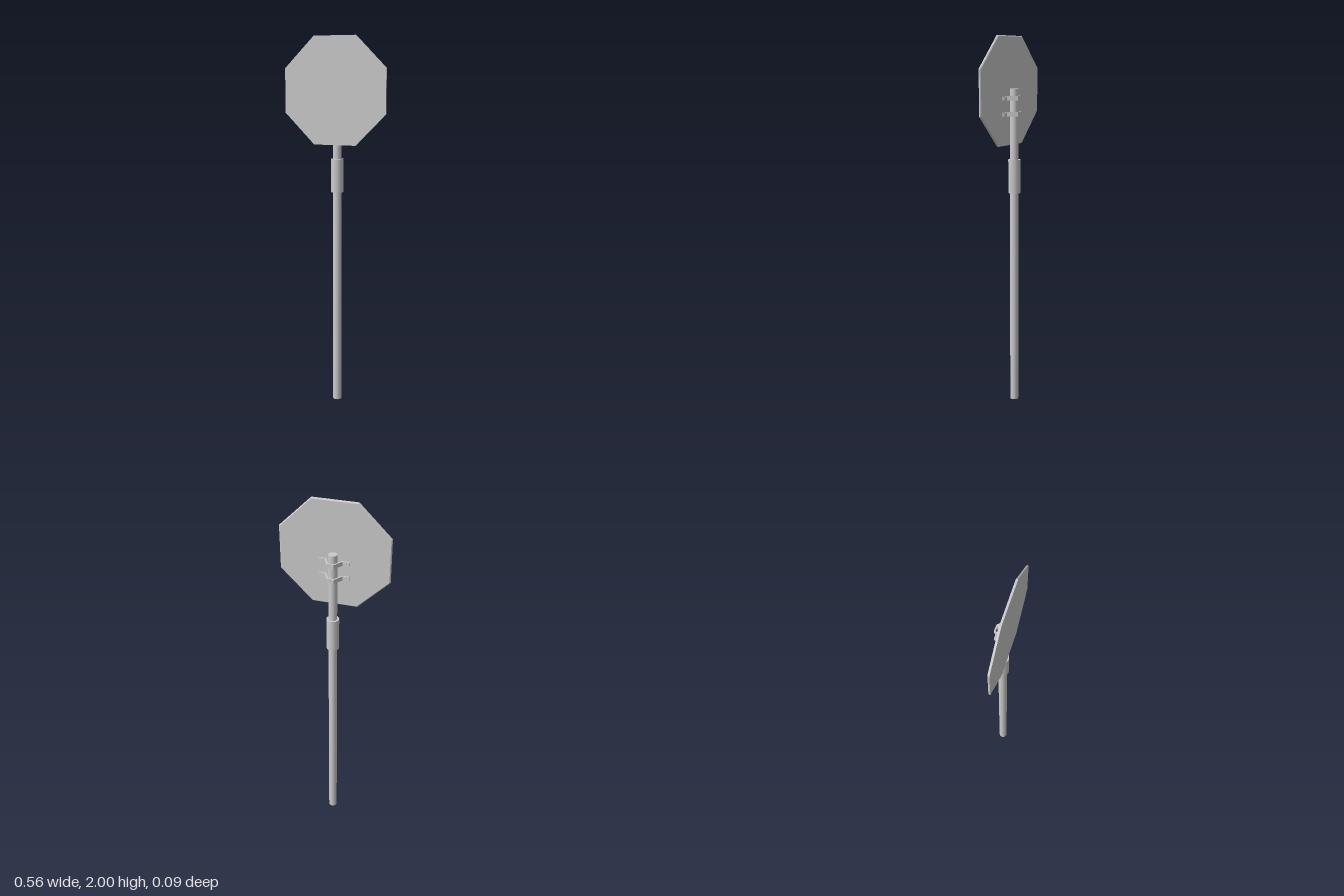
import * as THREE from 'three';

const POLE_Z = -0.012;

export function createModel() {
  const model = new THREE.Group();
  const smooth = new THREE.MeshStandardMaterial({ color: 0xcccccc });
  const flat = new THREE.MeshStandardMaterial({ color: 0xcccccc, flatShading: true });

  const add = (name, geometry, material, x, y, z, parent = model) => {
    const mesh = new THREE.Mesh(geometry, material);
    mesh.name = name;
    mesh.position.set(x, y, z);
    parent.add(mesh);
    return mesh;
  };

  // Pole and the thicker sleeve joining its two lengths
  const tube = (name, radius, y0, y1) =>
    add(name, new THREE.CylinderGeometry(radius, radius, y1 - y0, 16), smooth, 0, (y0 + y1) / 2, POLE_Z);
  tube('lowerPole', 0.023, 0, 1.2);
  tube('upperPole', 0.0225, 1.2, 1.73);
  tube('sleeve', 0.033, 1.18, 1.36);

  // Octagonal plate, chamfered along its back rim and turned slightly on the pole
  const corner = 0.2825 / Math.cos(Math.PI / 8);
  const profile = [[0, -0.0055], [corner - 0.005, -0.0055], [corner, -0.001], [corner, 0.0055], [0, 0.0055]]
    .map(([r, h]) => new THREE.Vector2(r, h));
  const plate = new THREE.LatheGeometry(profile, 8, Math.PI / 8);
  plate.rotateX(Math.PI / 2);
  add('signPlate', plate, flat, 0, 1.7175, 0.017).rotation.y = 0.082;

  // Strap clamp: two flanges and a bent band round the back of the pole
  const half = [[0.08, -0.007], [0.042, -0.007], [0.014, 0.04]];
  const outer = [[0.018, 0.047], [0.047, 0], [0.08, 0]];
  const mirror = (pts) => pts.map(([x, y]) => [-x, y]).reverse();
  const outline = [...half, ...mirror(half), ...mirror(outer), ...outer]
    .map(([x, y]) => new THREE.Vector2(x, y));
  const height = 0.022;
  const strap = new THREE.ExtrudeGeometry(new THREE.Shape(outline), { depth: height, bevelEnabled: false });
  strap.rotateX(-Math.PI / 2);
  strap.translate(0, -height / 2, 0);
  const boltHead = new THREE.CylinderGeometry(0.007, 0.007, 0.004, 8);
  boltHead.rotateX(Math.PI / 2);

  for (const y of [1.6, 1.682]) {
    const clamp = new THREE.Group();
    clamp.name = 'clamp';
    clamp.position.y = y;
    add('strap', strap, flat, 0, 0, 0, clamp);
    for (const side of [-1, 1]) add('boltHead', boltHead, flat, side * 0.063, 0, -0.001, clamp);
    model.add(clamp);
  }

  return model;
}
